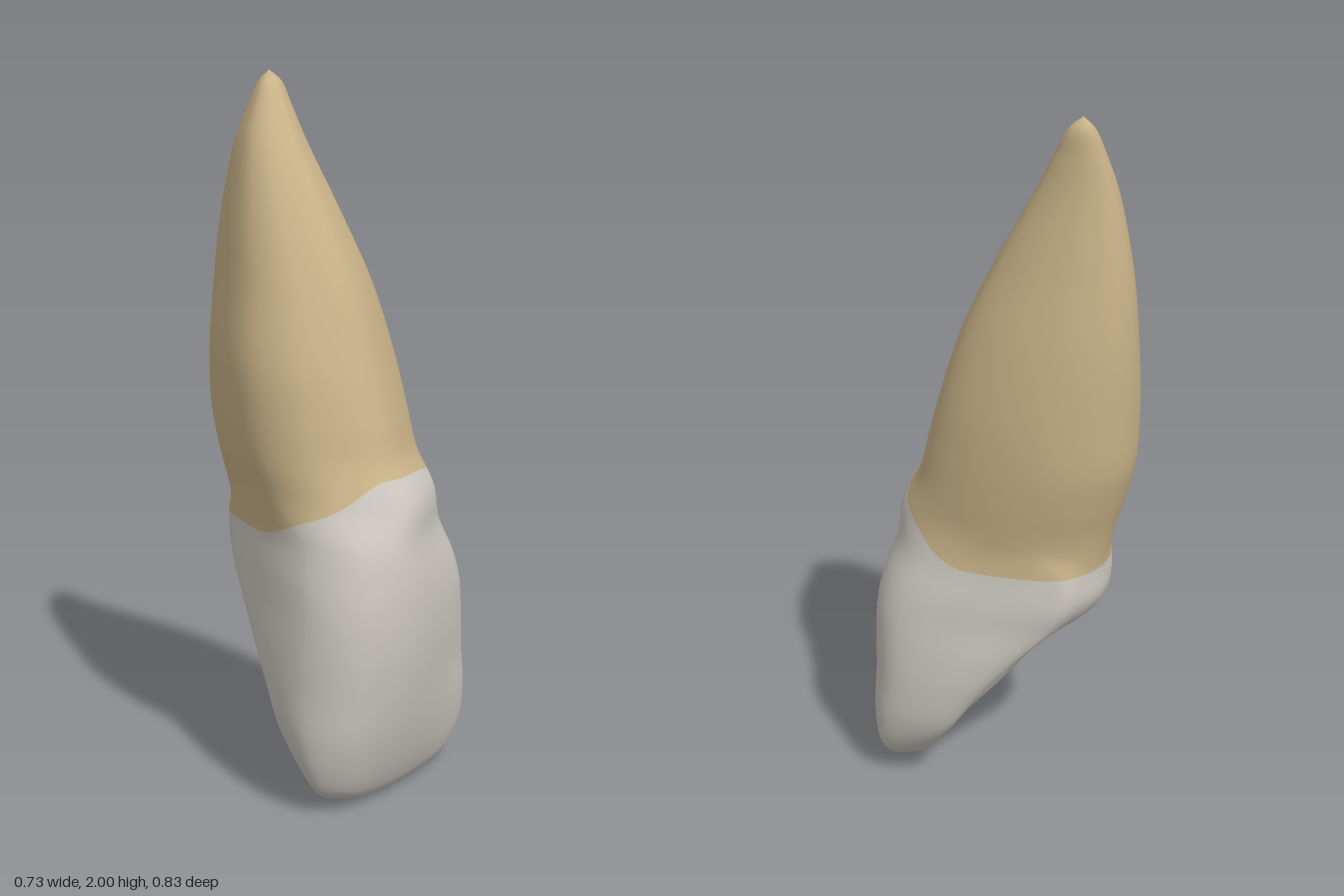
import * as THREE from 'three';

const V = (x, y, z) => new THREE.Vector3(x, y, z);
const AROUND = 99, CROWN_STEPS = 72, ROOT_STEPS = 60;

// Crown sections: y, xMin, xMax, zFront, curve of the front face,
// x and z of one back ridge, z of the hollow between, x and z of the other ridge
const crownRows = [
  [0.012, -0.17, 0.14, 0.283, 0.2, 0.10, 0.20, 0.215, -0.14, 0.23],
  [0.03, -0.26, 0.24, 0.303, 0.3, 0.18, 0.17, 0.20, -0.22, 0.22],
  [0.06, -0.315, 0.295, 0.322, 0.4, 0.23, 0.135, 0.185, -0.265, 0.20],
  [0.12, -0.347, 0.34, 0.348, 0.55, 0.275, 0.08, 0.16, -0.295, 0.16],
  [0.22, -0.367, 0.36, 0.378, 0.75, 0.29, -0.01, 0.11, -0.305, 0.09],
  [0.34, -0.367, 0.358, 0.40, 0.95, 0.265, -0.09, 0.05, -0.28, 0.01],
  [0.46, -0.36, 0.347, 0.412, 1, 0.215, -0.18, -0.08, -0.22, -0.105],
  [0.56, -0.348, 0.332, 0.412, 1, 0.17, -0.255, -0.275, -0.16, -0.22],
  [0.64, -0.333, 0.312, 0.405, 1.05, 0.15, -0.295, -0.33, -0.13, -0.275],
  [0.74, -0.305, 0.275, 0.385, 1.12, 0.145, -0.285, -0.332, -0.13, -0.28],
];

// Neck and root sections: y, xMin, xMax, zBack, zFront
const rootRows = [
  [0.84, -0.288, 0.25, -0.35, 0.353],
  [0.94, -0.291, 0.247, -0.38, 0.285],
  [1.05, -0.288, 0.245, -0.407, 0.25],
  [1.2, -0.275, 0.235, -0.415, 0.2],
  [1.4, -0.222, 0.202, -0.415, 0.122],
  [1.6, -0.165, 0.152, -0.397, 0.012],
  [1.8, -0.092, 0.105, -0.36, -0.12],
  [1.9, -0.035, 0.09, -0.335, -0.188],
  [1.97, 0.012, 0.08, -0.312, -0.24],
];

// Egg-shaped root outline within a unit box, back at 0 and front at 1
const egg = [
  [0, 0.6], [0.075, 0.835], [0.37, 1], [0.685, 0.932], [0.935, 0.78], [1, 0.548],
  [0.907, 0.23], [0.72, 0.048], [0.537, 0], [0.35, 0.048], [0.167, 0.247],
];

const rootPoints = ([y, x0, x1, z0, z1]) =>
  egg.map(([u, v]) => V(x0 + u * (x1 - x0), y, z0 + v * (z1 - z0)));

// Slanted front face, two back ridges and the hollow between them
function crownPoints([y, x0, x1, zf, k, dx, dz, fz, mx, mz]) {
  const w = x1 - x0, cx = (dx + mx) / 2;
  const bump = Math.min(0.03, Math.max(0, fz - dz) * 0.2);
  const floor = (rx, rz) => V(cx + (rx - cx) * 0.45, y, fz + (rz - fz) * 0.2);
  return [
    V(x0, y, zf - 0.19 * k),
    V(x0 + 0.08 * w, y, zf - 0.05 * k),
    V(x0 + 0.3 * w, y, zf),
    V(x0 + 0.65 * w, y, zf - 0.055 * k),
    V(x0 + 0.92 * w, y, zf - 0.155 * k),
    V(x1, y, zf - 0.28 * k),
    V(dx, y, dz),
    floor(dx, dz),
    V(cx, y, fz - bump),
    floor(mx, mz),
    V(mx, y, mz),
  ];
}

// One closed cross-section, sampled evenly between its control points
function ring(points) {
  const curve = new THREE.CatmullRomCurve3(points, true, 'centripetal');
  return Array.from({ length: AROUND }, (_, i) => curve.getPoint(i / AROUND));
}

// Height of the gum line, highest on the front and dropping at one side
function gumLine({ x, z }) {
  const rise = 0.17 * (1 - 0.45 * THREE.MathUtils.smoothstep(-x, 0.1, 0.29));
  return 0.735 + rise * THREE.MathUtils.smoothstep(z, -0.05, 0.3);
}

export function createModel() {
  const enamel = new THREE.MeshStandardMaterial({ color: 0xc9c5bd });
  enamel.name = 'enamel';
  const dentine = new THREE.MeshStandardMaterial({ color: 0xc7b187 });
  dentine.name = 'dentine';

  const tip = (x, y, z) => Array.from({ length: AROUND }, () => V(x, y, z));
  const rings = [
    tip(-0.01, 0, 0.25),
    ...crownRows.map((r) => ring(crownPoints(r))),
    ...rootRows.map((r) => ring(rootPoints(r))),
    tip(0.053, 2, -0.283),
  ];

  // Smooth columns from biting edge to root tip, each split at the gum line
  const total = CROWN_STEPS + ROOT_STEPS;
  const position = new Float32Array((total + 1) * AROUND * 3);
  for (let i = 0; i < AROUND; i++) {
    const column = new THREE.CatmullRomCurve3(rings.map((r) => r[i]), false, 'centripetal');
    let lo = 0, hi = 1;
    for (let n = 0; n < 30; n++) {
      const mid = (lo + hi) / 2, p = column.getPoint(mid);
      if (p.y < gumLine(p)) lo = mid; else hi = mid;
    }
    for (let j = 0; j <= total; j++) {
      const t = j <= CROWN_STEPS
        ? lo * j / CROWN_STEPS
        : lo + (1 - lo) * (j - CROWN_STEPS) / ROOT_STEPS;
      column.getPoint(t).toArray(position, (j * AROUND + i) * 3);
    }
  }

  // Faces between two levels, single triangles at the tips
  const strip = (from, to) => {
    const index = [];
    for (let j = from; j < to; j++) {
      for (let i = 0; i < AROUND; i++) {
        const a = j * AROUND + i, b = j * AROUND + (i + 1) % AROUND;
        const c = a + AROUND, d = b + AROUND;
        if (j === 0) index.push(a, d, c);
        else if (j === total - 1) index.push(a, b, c);
        else index.push(a, b, c, b, d, c);
      }
    }
    return index;
  };

  // Normals come from the whole surface so the gum line stays smooth
  const whole = new THREE.BufferGeometry();
  whole.setAttribute('position', new THREE.BufferAttribute(position, 3));
  whole.setIndex(strip(0, total));
  whole.computeVertexNormals();

  const group = new THREE.Group();
  group.name = 'tooth';
  const addPart = (name, from, to, material) => {
    const geometry = whole.clone();
    geometry.setIndex(strip(from, to));
    const mesh = new THREE.Mesh(geometry, material);
    mesh.name = name;
    group.add(mesh);
  };
  addPart('crown', 0, CROWN_STEPS, enamel);
  addPart('root', CROWN_STEPS, total, dentine);
  return group;
}
